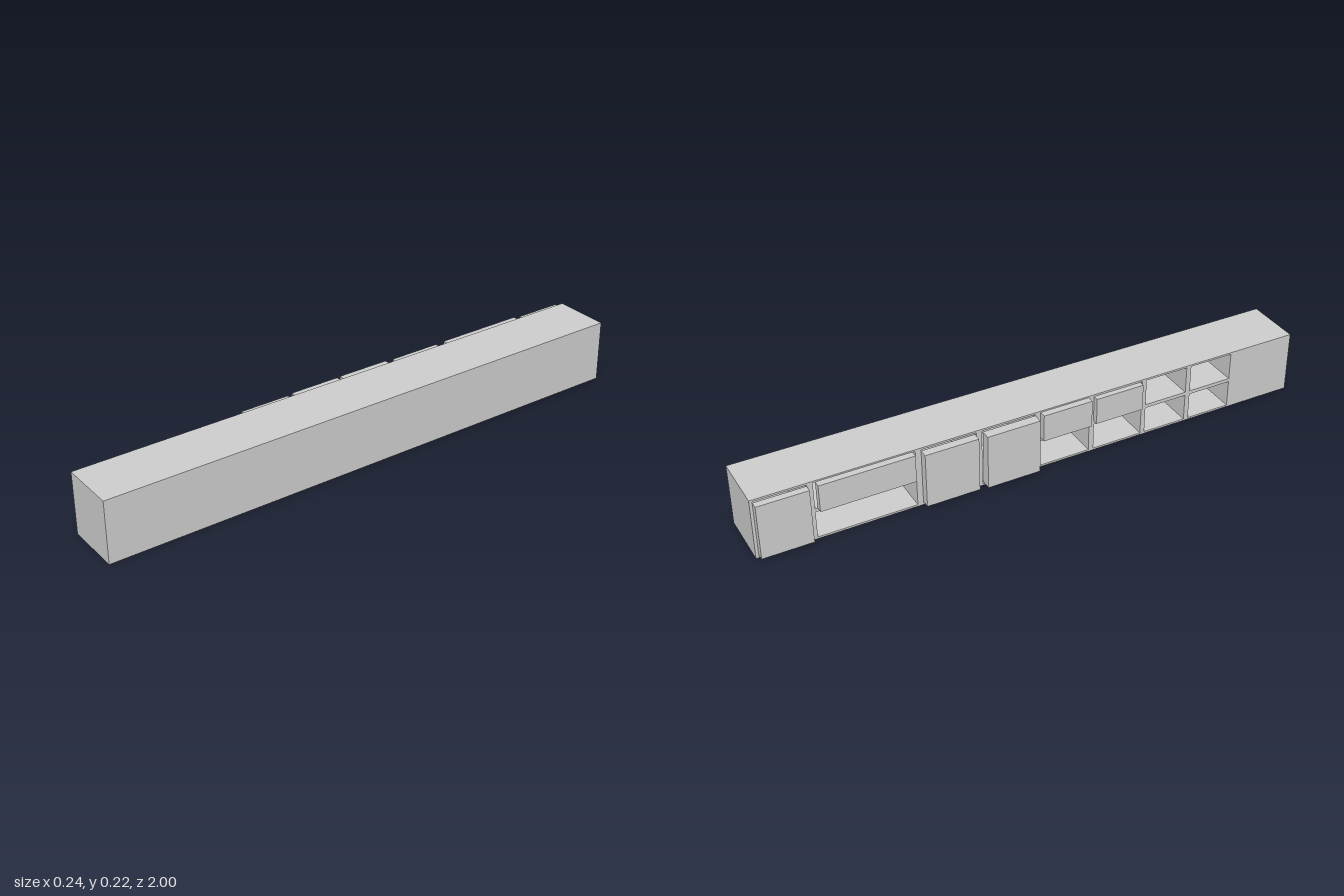
import * as THREE from 'three';

export function createModel() {
  const group = new THREE.Group();
  group.name = 'longCabinet';
  const material = new THREE.MeshStandardMaterial({ color: 0xcccccc, flatShading: true });

  const FRONT = -0.085, BACK = 0.118, HEIGHT = 0.224, BACK_PANEL = 0.01;

  function add(name, geometry, x, y, z) {
    const mesh = new THREE.Mesh(geometry, material);
    mesh.name = name;
    mesh.position.set(x, y, z);
    group.add(mesh);
  }

  // Rectangle in the open face; the shape's x axis becomes -z after turning
  function rectangle(Type, z0, z1, y0, y1) {
    return new Type([
      new THREE.Vector2(-z1, y0), new THREE.Vector2(-z0, y0),
      new THREE.Vector2(-z0, y1), new THREE.Vector2(-z1, y1),
    ]);
  }

  // Compartments: z start, z end, split by a middle shelf
  const cells = [
    [-0.99, -0.815, false], [-0.795, -0.45, true],
    [-0.43, -0.235, false], [-0.215, -0.02, false],
    [0, 0.185, true], [0.204, 0.39, true],
    [0.407, 0.568, true], [0.586, 0.749, true],
  ];
  const face = rectangle(THREE.Shape, -1, 1, 0, HEIGHT);
  for (const [z0, z1, split] of cells) {
    const rows = split ? [[0.007, 0.105], [0.118, 0.217]] : [[0.007, 0.217]];
    for (const [y0, y1] of rows) face.holes.push(rectangle(THREE.Path, z0, z1, y0, y1));
  }

  // Carcass with its dividers and shelves, closed by a back panel
  const depth = BACK - FRONT - BACK_PANEL;
  const carcass = new THREE.ExtrudeGeometry(face, { depth, bevelEnabled: false });
  carcass.rotateY(Math.PI / 2);
  add('carcass', carcass, FRONT, 0, 0);
  add('backPanel', new THREE.BoxGeometry(BACK_PANEL, HEIGHT, 2), BACK - BACK_PANEL / 2, HEIGHT / 2, 0);

  // Full-height doors and upper drawer fronts: z start, z end, outer x, y range
  const fronts = [
    ['door', -0.99, -0.815, -0.11, 0.012, 0.213],
    ['drawerFront', -0.787, -0.46, -0.109, 0.119, 0.219],
    ['door', -0.43, -0.24, -0.115, 0.012, 0.213],
    ['door', -0.212, -0.02, -0.12, 0.012, 0.213],
    ['drawerFront', 0, 0.182, -0.109, 0.119, 0.219],
    ['drawerFront', 0.202, 0.382, -0.105, 0.119, 0.217],
  ];
  for (const [name, z0, z1, x, y0, y1] of fronts) {
    add(name, new THREE.BoxGeometry(FRONT - x, y1 - y0, z1 - z0), (x + FRONT) / 2, (y0 + y1) / 2, (z0 + z1) / 2);
  }
  return group;
}
